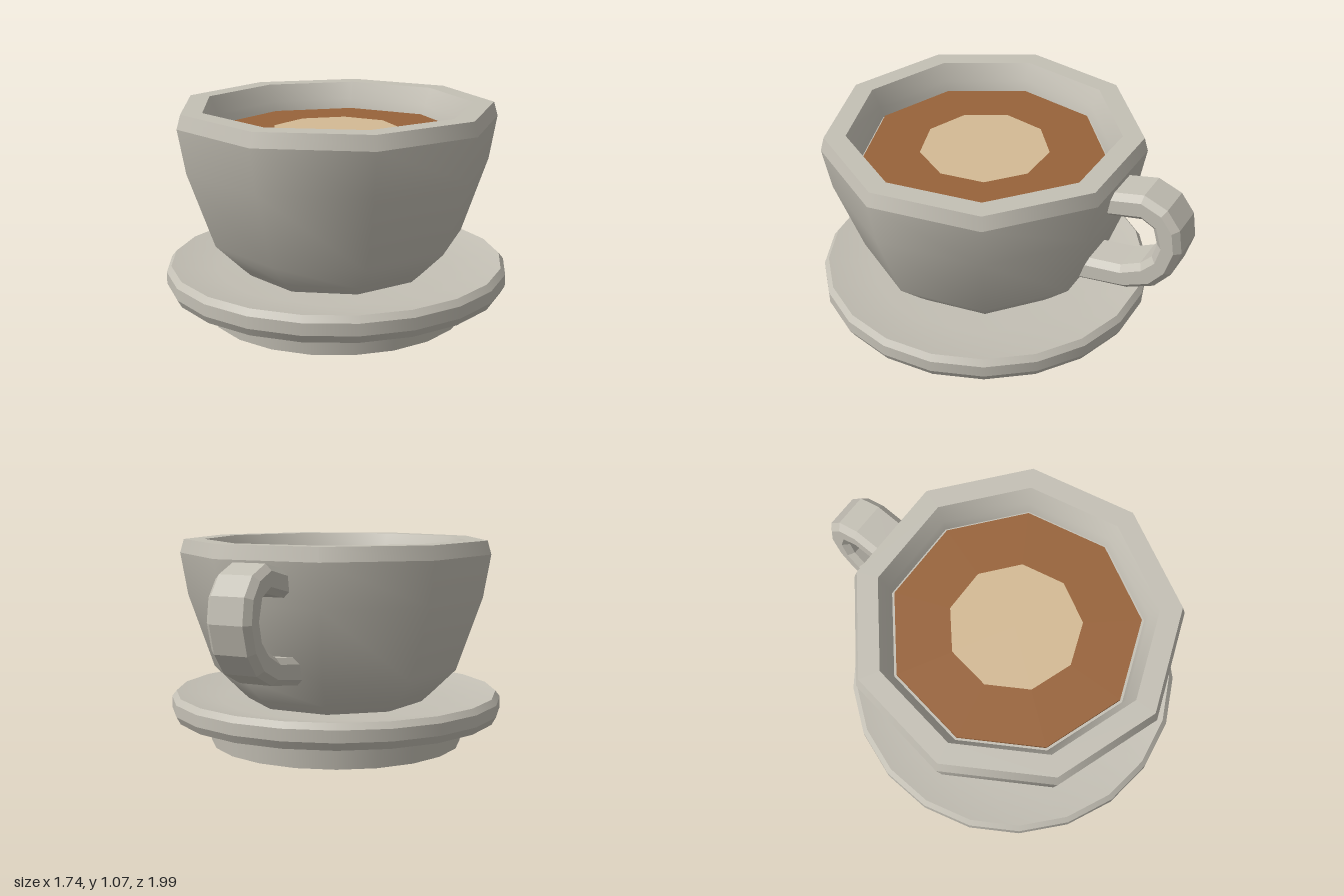
import * as THREE from 'three';

const ceramic = new THREE.MeshStandardMaterial({ color: 0xc4c0b5 });
ceramic.name = 'ceramic';
const coffeeBrown = new THREE.MeshStandardMaterial({ color: 0x98633a });
coffeeBrown.name = 'coffee brown';
const foamCream = new THREE.MeshStandardMaterial({ color: 0xd4ba94 });
foamCream.name = 'foam cream';

const CENTRE_Z = 0.12;

// Each band is a smooth strip of [radius, height] points; edges between bands stay sharp.
function turned(name, bands, sides, material) {
  const group = new THREE.Group();
  group.name = name;
  for (const [part, points] of Object.entries(bands)) {
    const profile = points.map(([r, y]) => new THREE.Vector2(r, y));
    const mesh = new THREE.Mesh(new THREE.LatheGeometry(profile, sides), material);
    mesh.name = part;
    group.add(mesh);
  }
  group.position.z = CENTRE_Z;
  return group;
}

// Looped handle: an outline in (z, y), extruded across x with chamfered edges.
function makeHandle() {
  const outline = [
    [0.57, 0.95], [0.79, 1.0], [0.91, 0.955], [0.98, 0.865], [1.0, 0.74],
    [0.96, 0.6], [0.88, 0.5], [0.74, 0.435], [0.42, 0.385],
    [0.42, 0.52], [0.7, 0.56], [0.8, 0.61], [0.855, 0.67], [0.875, 0.75],
    [0.85, 0.835], [0.79, 0.865], [0.57, 0.82],
  ];
  const shape = new THREE.Shape(outline.map(([d, y]) => new THREE.Vector2(d, y)));
  const geometry = new THREE.ExtrudeGeometry(shape, {
    depth: 0.17, bevelEnabled: true, bevelSegments: 1,
    bevelThickness: 0.03, bevelSize: 0.03, bevelOffset: -0.03,
  });
  geometry.translate(0, 0, -0.085);
  geometry.rotateY(Math.PI / 2); // outline x becomes -z
  const handle = new THREE.Mesh(geometry, ceramic);
  handle.name = 'handle';
  return handle;
}

export function createModel() {
  const model = new THREE.Group();
  model.name = 'cupAndSaucer';

  model.add(turned('saucer', {
    footBase: [[0, 0], [0.665, 0]],
    foot: [[0.665, 0], [0.675, 0.11]],
    underside: [[0.67, 0.108], [0.85, 0.14]],
    lowerChamfer: [[0.85, 0.14], [0.872, 0.18]],
    edge: [[0.872, 0.18], [0.872, 0.24]],
    upperChamfer: [[0.872, 0.24], [0.848, 0.27]],
    dish: [[0.848, 0.27], [0.6, 0.225], [0, 0.22]],
  }, 21, ceramic));

  model.add(turned('cup', {
    base: [[0, 0.2], [0.44, 0.2]],
    body: [[0.44, 0.2], [0.515, 0.27], [0.645, 0.4], [0.777, 0.78], [0.815, 1.0]],
    rimChamfer: [[0.815, 1.0], [0.795, 1.07]],
    rimTop: [[0.795, 1.07], [0.688, 1.07]],
    innerWall: [[0.688, 1.07], [0.645, 0.98], [0.63, 0.92]],
    innerFloor: [[0.63, 0.92], [0, 0.92]],
  }, 9, ceramic));

  model.add(turned('coffee', {
    coffeeSide: [[0.617, 0.92], [0.617, 0.934]],
    coffeeSurface: [[0.617, 0.934], [0, 0.934]],
  }, 9, coffeeBrown));

  model.add(turned('foam', {
    foamSurface: [[0.33, 0.939], [0, 0.939]],
  }, 9, foamCream));

  model.add(makeHandle());
  return model;
}
